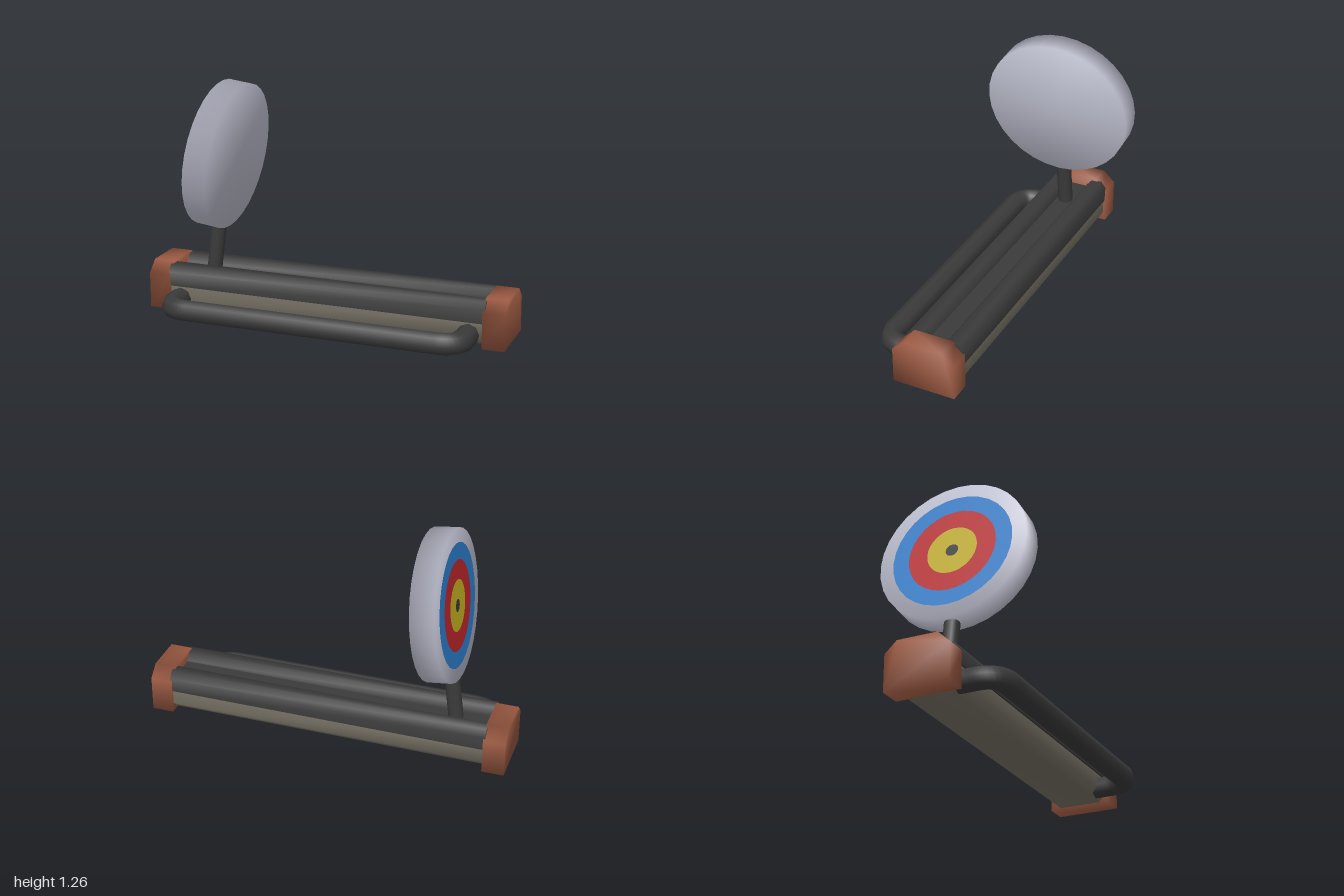
import * as THREE from 'three';
import { mergeVertices, toCreasedNormals } from 'three/addons/utils/BufferGeometryUtils.js';

const flat = (name, color) => {
  const m = new THREE.MeshStandardMaterial({ color });
  m.name = name;
  return m;
};

// Shares normals over every edge for a soft, rounded look
function soften(geometry) {
  geometry.deleteAttribute('uv');
  geometry.deleteAttribute('normal');
  const merged = mergeVertices(geometry, 1e-4);
  merged.computeVertexNormals();
  return merged;
}

// Extrudes a [z, y] section along x, centred on x = 0
function bar(section, length) {
  const shape = new THREE.Shape(section.map(([z, y]) => new THREE.Vector2(z, y)));
  const g = new THREE.ExtrudeGeometry(shape, { depth: length, bevelEnabled: false });
  g.translate(0, 0, -length / 2);
  g.rotateY(-Math.PI / 2);
  return g;
}

export function createModel() {
  const model = new THREE.Group();
  model.name = 'targetStand';

  const dark = flat('darkGrey', 0x3b3b3b);
  const taupe = flat('taupe', 0x7a7568);
  const brown = flat('brown', 0x9c5a42);
  const pale = flat('paleGrey', 0xbfc0d0);
  const blue = flat('blue', 0x2b80d0);
  const red = flat('red', 0xc0262c);
  const yellow = flat('yellow', 0xc8b422);

  const add = (parent, name, geometry, material) => {
    const mesh = new THREE.Mesh(geometry, material);
    mesh.name = name;
    parent.add(mesh);
    return mesh;
  };

  // Chamfered end blocks
  const endSection = [
    [-0.172, 0], [0.175, 0], [0.175, 0.195], [0.11, 0.255], [-0.107, 0.255], [-0.172, 0.195],
  ];
  for (const side of [-1, 1]) {
    const name = side < 0 ? 'rightEndBlock' : 'leftEndBlock';
    add(model, name, soften(bar(endSection, 0.12)), brown).position.x = side * 0.94;
  }

  // Lower body with chamfered underside
  const bodySection = [
    [-0.115, 0.008], [0.115, 0.008], [0.158, 0.05], [0.158, 0.14], [-0.158, 0.14], [-0.158, 0.05],
  ];
  add(model, 'lowerBody', toCreasedNormals(bar(bodySection, 1.78), 0.9), taupe);

  // Two rounded rails with a groove floor between them
  const railSection = [
    [-0.058, 0.132], [0.058, 0.132], [0.058, 0.208], [0.03, 0.245], [-0.03, 0.245], [-0.058, 0.208],
  ];
  for (const side of [-1, 1]) {
    const name = side < 0 ? 'backRail' : 'frontRail';
    add(model, name, toCreasedNormals(bar(railSection, 1.78), 1), dark).position.z = side * 0.108;
  }
  add(model, 'grooveFloor', new THREE.BoxGeometry(1.78, 0.07, 0.12), dark).position.y = 0.165;

  // Bent handle along the front
  const v = (x, z) => new THREE.Vector3(x, 0.064, z);
  const [l, r, out, bend] = [-0.823, 0.803, 0.336, 0.12];
  const path = new THREE.CurvePath();
  path.add(new THREE.LineCurve3(v(l, 0.13), v(l, out - bend)));
  path.add(new THREE.QuadraticBezierCurve3(v(l, out - bend), v(l, out), v(l + bend, out)));
  path.add(new THREE.LineCurve3(v(l + bend, out), v(r - bend, out)));
  path.add(new THREE.QuadraticBezierCurve3(v(r - bend, out), v(r, out), v(r, out - bend)));
  path.add(new THREE.LineCurve3(v(r, out - bend), v(r, 0.13)));
  add(model, 'handle', new THREE.TubeGeometry(path, 120, 0.06, 8), dark);

  // Leaning target on its post
  const target = new THREE.Group();
  target.name = 'target';
  target.position.set(-0.605, 0.86, 0);
  target.rotation.z = -0.128;
  model.add(target);

  const post = add(target, 'post', new THREE.CylinderGeometry(0.041, 0.041, 0.36, 12), dark);
  post.position.set(0, -0.53, 0);

  const disc = new THREE.CylinderGeometry(0.412, 0.412, 0.13, 32);
  disc.rotateZ(Math.PI / 2);
  disc.scale(1, 0.962, 1);
  add(target, 'disc', soften(disc), pale);

  // Painted rings on the outer face
  const rings = [
    ['blueRing', 0.245, 0.335, blue],
    ['redRing', 0.14, 0.245, red],
    ['yellowRing', 0.035, 0.14, yellow],
    ['bullseye', 0, 0.035, dark],
  ];
  for (const [name, inner, outer, material] of rings) {
    const g = inner ? new THREE.RingGeometry(inner, outer, 32) : new THREE.CircleGeometry(outer, 32);
    g.rotateY(-Math.PI / 2);
    g.scale(1, 0.962, 1);
    add(target, name, g, material).position.x = -0.068;
  }

  return model;
}
